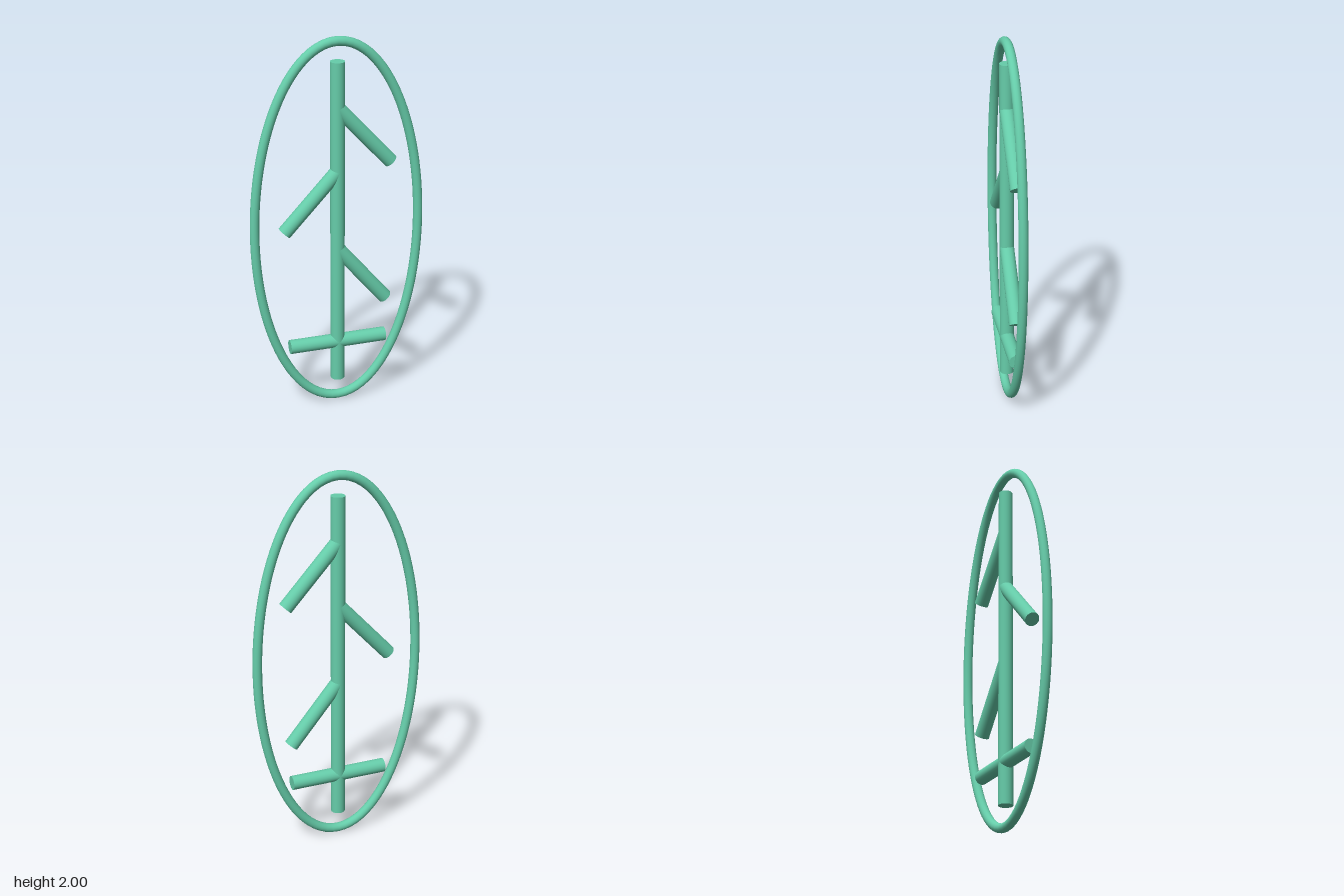
import * as THREE from 'three';

const ROD = 0.037; // radius of trunk and branches
const TUBE = 0.024; // radius of the ring

// Closed ellipse in the xy plane
class EllipsePath extends THREE.Curve {
  constructor(rx, ry, cy) {
    super();
    Object.assign(this, { rx, ry, cy });
  }
  getPoint(t, target = new THREE.Vector3()) {
    const a = t * Math.PI * 2;
    return target.set(this.rx * Math.cos(a), this.cy + this.ry * Math.sin(a), 0);
  }
}

export function createModel() {
  const group = new THREE.Group();
  const green = new THREE.MeshStandardMaterial({ color: 0x66cdaa });
  green.name = 'sea green';

  const add = (name, geometry) => {
    const mesh = new THREE.Mesh(geometry, green);
    mesh.name = name;
    group.add(mesh);
    return mesh;
  };

  // Round rod between two points in the xy plane
  const rod = (name, x1, y1, x2, y2) => {
    const a = new THREE.Vector3(x1, y1, 0);
    const b = new THREE.Vector3(x2, y2, 0);
    const mesh = add(name, new THREE.CylinderGeometry(ROD, ROD, a.distanceTo(b), 24));
    mesh.position.copy(a).add(b).multiplyScalar(0.5);
    mesh.quaternion.setFromUnitVectors(new THREE.Vector3(0, 1, 0), b.sub(a).normalize());
  };

  // Oval ring around everything
  add('ring', new THREE.TubeGeometry(new EllipsePath(0.457 - TUBE, 1 - TUBE, 1), 128, TUBE, 16, true));

  // Trunk and level crossbar
  rod('trunk', 0, 0.13, 0, 1.875);
  rod('crossbar', -0.26, 0.35, 0.26, 0.35);

  // Drooping branches on alternating sides
  rod('upperBranch', 0, 1.64, 0.28, 1.333);
  rod('middleBranch', 0, 1.307, -0.28, 1.005);
  rod('lowerBranch', 0, 0.885, 0.26, 0.572);

  return group;
}
